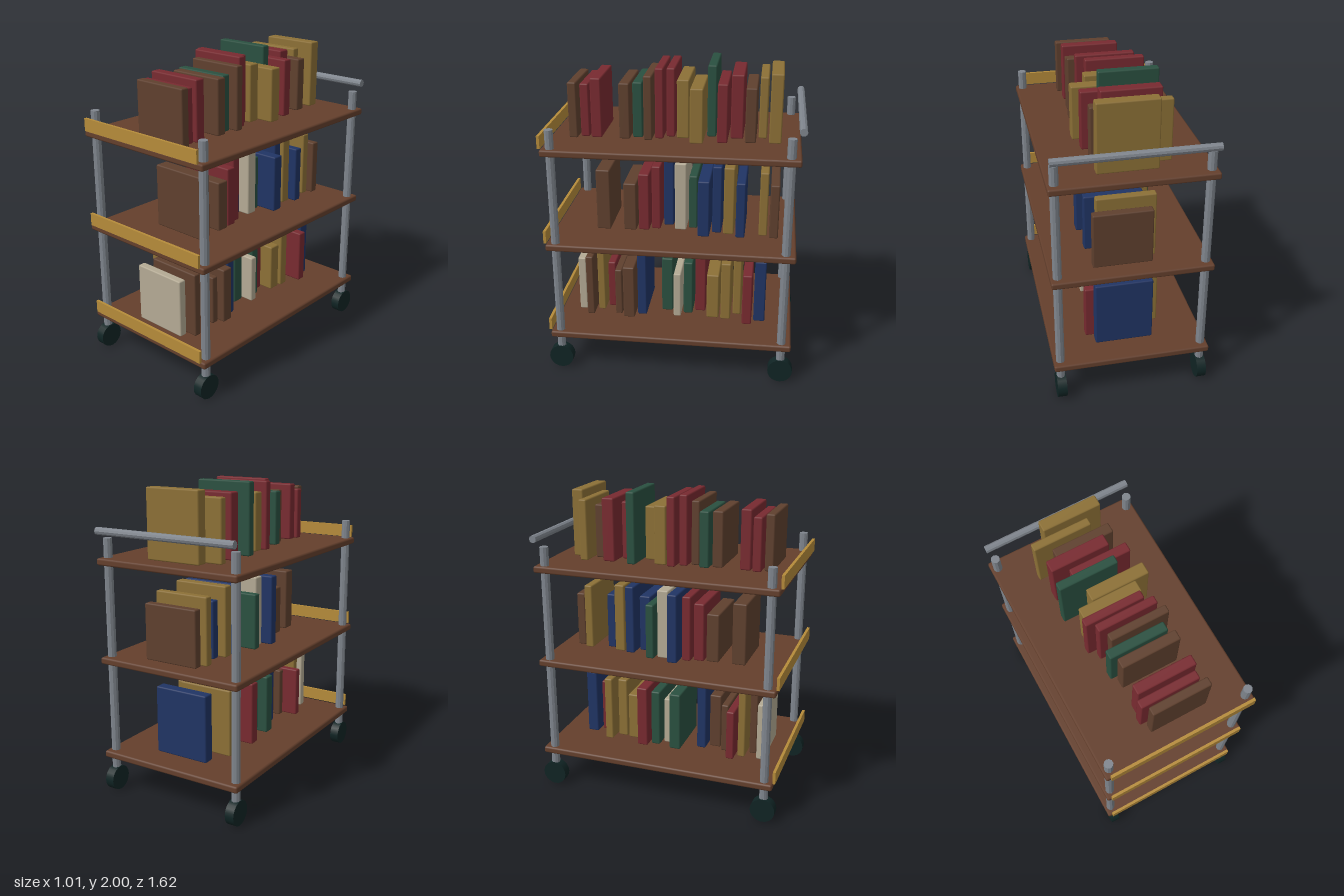
import * as THREE from 'three';
import { RoundedBoxGeometry } from 'three/addons/geometries/RoundedBoxGeometry.js';

function material(name, color) {
  const m = new THREE.MeshStandardMaterial({ color });
  m.name = name;
  return m;
}

const mats = {
  shelf: material('shelf wood', 0x643f2c),
  lip: material('golden wood', 0xb58b3a),
  metal: material('metal', 0x7f858d),
  wheel: material('dark rubber', 0x102424),
  brown: material('brown cover', 0x5f402e),
  red: material('red cover', 0x782a30),
  gold: material('gold cover', 0x8c7036),
  green: material('green cover', 0x2a5040),
  blue: material('blue cover', 0x203464),
  cream: material('cream cover', 0xb4aa94),
};

const SHELF_HEIGHT = 0.044;
const BOOK_WIDTH = 0.375;
const BOOK_GAP = 0.0133;

function add(parent, name, geometry, mat, x, y, z) {
  const mesh = new THREE.Mesh(geometry, mat);
  mesh.name = name;
  mesh.position.set(x, y, z);
  parent.add(mesh);
}

// Shelf with bevelled edges and a front lip
function addShelf(cart, name, top) {
  const tier = new THREE.Group();
  tier.name = name;
  cart.add(tier);
  add(tier, 'shelf', new RoundedBoxGeometry(1.008, SHELF_HEIGHT, 1.58, 1, 0.012),
    mats.shelf, 0, top - SHELF_HEIGHT / 2, 0);
  add(tier, 'frontLip', new THREE.BoxGeometry(0.955, 0.082, 0.018), mats.lip, 0, top + 0.041, 0.797);
  return tier;
}

// Stands books one behind another, from z = front towards the back.
// Each book: colour, thickness, height, sideways shift
function addBooks(tier, top, front, books) {
  let z = front;
  for (const [color, thickness, height, x] of books) {
    add(tier, 'book', new RoundedBoxGeometry(BOOK_WIDTH, height, thickness, 1, 0.009),
      mats[color], x, top + height / 2, z - thickness / 2);
    z -= thickness + BOOK_GAP;
  }
}

// Faceted round bar
function barGeometry(radius, length) {
  const geometry = new THREE.CylinderGeometry(radius, radius, length, 10).toNonIndexed();
  geometry.computeVertexNormals();
  return geometry;
}

export function createModel() {
  const cart = new THREE.Group();
  cart.name = 'bookCart';

  // Bottom shelf, two runs of books
  const bottom = addShelf(cart, 'bottomTier', 0.277);
  addBooks(bottom, 0.277, 0.666, [
    ['cream', 0.054, 0.39, -0.01], ['brown', 0.05, 0.434, 0.057], ['gold', 0.05, 0.463, -0.015],
    ['red', 0.052, 0.338, -0.07], ['brown', 0.048, 0.333, 0.03], ['brown', 0.078, 0.376, 0.07],
    ['blue', 0.062, 0.463, 0.022],
  ]);
  addBooks(bottom, 0.277, 0.097, [
    ['green', 0.076, 0.397, -0.055], ['cream', 0.05, 0.323, 0.02], ['green', 0.062, 0.386, -0.03],
    ['red', 0.072, 0.418, -0.072], ['gold', 0.083, 0.323, 0.01], ['gold', 0.066, 0.418, 0.02],
    ['gold', 0.055, 0.443, -0.053], ['red', 0.063, 0.365, 0.072], ['blue', 0.076, 0.445, 0.02],
  ]);

  // Middle shelf, three runs of books
  const middle = addShelf(cart, 'middleTier', 0.912);
  addBooks(middle, 0.912, 0.513, [['brown', 0.092, 0.411, 0.025]]);
  addBooks(middle, 0.912, 0.335, [
    ['brown', 0.084, 0.324, 0.02], ['red', 0.07, 0.388, 0.01], ['red', 0.058, 0.435, -0.017],
    ['blue', 0.066, 0.459, -0.085], ['cream', 0.077, 0.461, -0.02], ['green', 0.055, 0.366, -0.055],
    ['blue', 0.076, 0.38, 0.072], ['blue', 0.06, 0.457, 0], ['gold', 0.069, 0.457, 0.015],
    ['blue', 0.059, 0.374, 0.06],
  ]);
  addBooks(middle, 0.912, -0.547, [['gold', 0.055, 0.433, 0.012], ['brown', 0.058, 0.364, 0.045]]);

  // Top shelf, two runs of books
  const top = addShelf(cart, 'topTier', 1.544);
  addBooks(top, 1.544, 0.665, [
    ['brown', 0.056, 0.354, 0.045], ['red', 0.056, 0.339, 0.01], ['red', 0.068, 0.379, 0.025],
  ]);
  addBooks(top, 1.544, 0.347, [
    ['brown', 0.068, 0.354, 0.03], ['green', 0.062, 0.354, -0.005], ['brown', 0.053, 0.406, 0.043],
    ['red', 0.053, 0.446, 0.002], ['red', 0.054, 0.438, -0.046], ['gold', 0.078, 0.374, -0.022],
    ['gold', 0.083, 0.346, 0.077], ['green', 0.057, 0.456, -0.075], ['red', 0.065, 0.371, 0.047],
    ['red', 0.08, 0.406, -0.053], ['brown', 0.069, 0.346, 0.025], ['gold', 0.053, 0.391, -0.078],
    ['gold', 0.077, 0.436, 0.02],
  ]);

  // Corner posts on wheels
  const postGeometry = barGeometry(0.028, 1.565);
  const wheelGeometry = new THREE.CylinderGeometry(0.08, 0.08, 0.06, 20);
  wheelGeometry.rotateZ(Math.PI / 2);
  for (const x of [-0.46, 0.46]) {
    for (const z of [-0.727, 0.732]) {
      add(cart, 'post', postGeometry, mats.metal, x, 0.1 + 1.565 / 2, z);
      add(cart, 'wheel', wheelGeometry, mats.wheel, x, 0.08, z);
    }
  }

  // Push handle across the back
  const handleGeometry = barGeometry(0.024, 0.98);
  handleGeometry.rotateZ(Math.PI / 2);
  add(cart, 'pushHandle', handleGeometry, mats.metal, 0, 1.713, -0.787);

  return cart;
}
